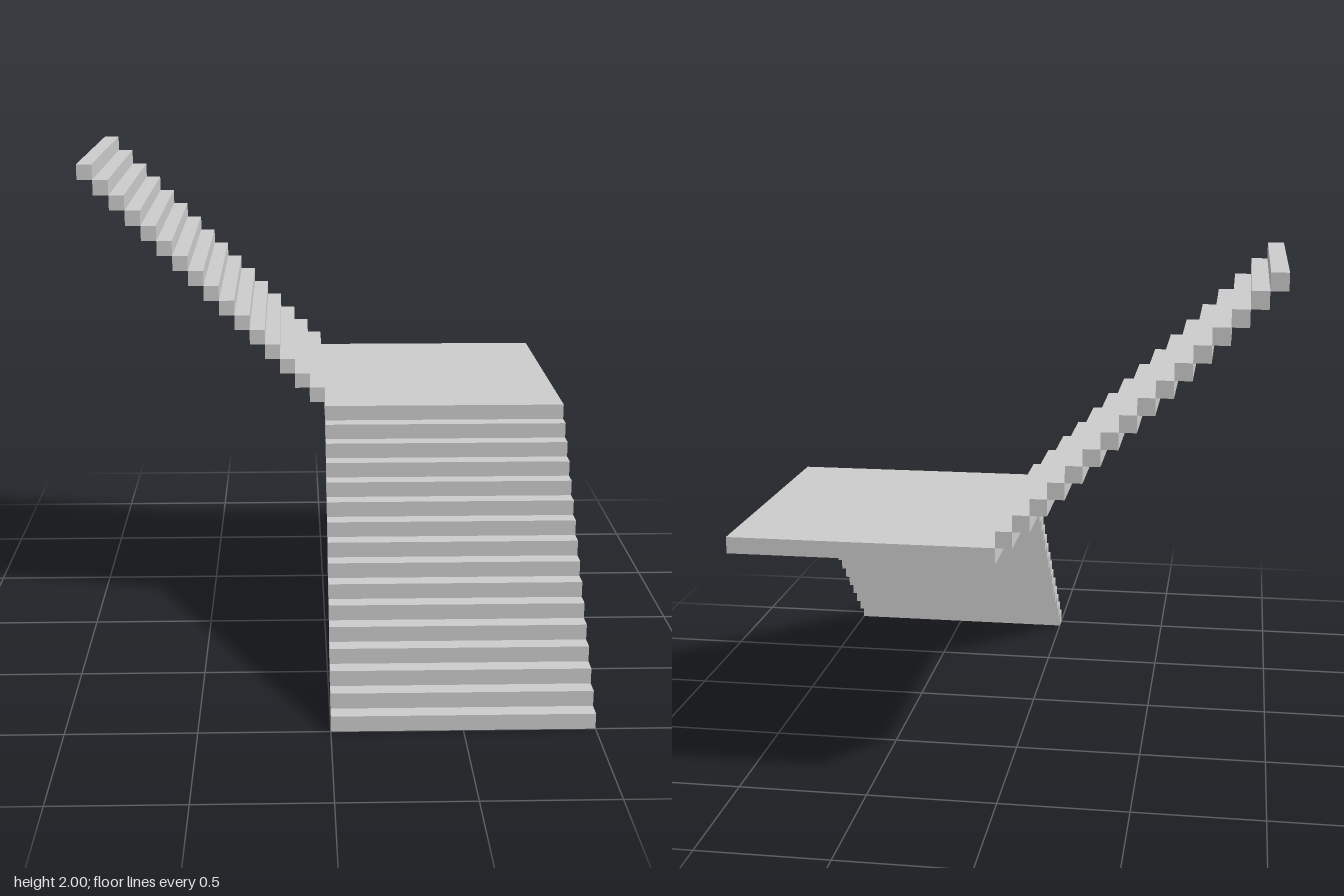
import * as THREE from 'three';

const STEPS = 16;
const S = 1 / STEPS; // rise, going and thickness of every step

export function createModel() {
  const model = new THREE.Group();
  const material = new THREE.MeshStandardMaterial({ color: 0xcccccc, flatShading: true });

  // Adds a box spanning two opposite corners
  const addBox = (parent, name, [x0, y0, z0], [x1, y1, z1]) => {
    const mesh = new THREE.Mesh(new THREE.BoxGeometry(x1 - x0, y1 - y0, z1 - z0), material);
    mesh.position.set((x0 + x1) / 2, (y0 + y1) / 2, (z0 + z1) / 2);
    mesh.name = name;
    parent.add(mesh);
  };

  // Lower flight climbs from the front; the landing takes the place of its top step
  const lowerFlight = new THREE.Group();
  lowerFlight.name = 'lowerFlight';
  for (let i = 0; i < STEPS - 1; i++) {
    addBox(lowerFlight, 'lowerStep', [0, i * S, 1 - (i + 1) * S], [1, (i + 1) * S, 1 - i * S]);
  }

  // Landing slab where the stair turns
  addBox(model, 'landing', [0, 1 - S, -1], [1, 1, S]);

  // Upper flight climbs sideways from the landing
  const upperFlight = new THREE.Group();
  upperFlight.name = 'upperFlight';
  for (let i = 0; i < STEPS; i++) {
    addBox(upperFlight, 'upperStep', [-(i + 1) * S, 1 + i * S, -1], [-i * S, 1 + (i + 1) * S, 0]);
  }

  model.add(lowerFlight, upperFlight);
  return model;
}
